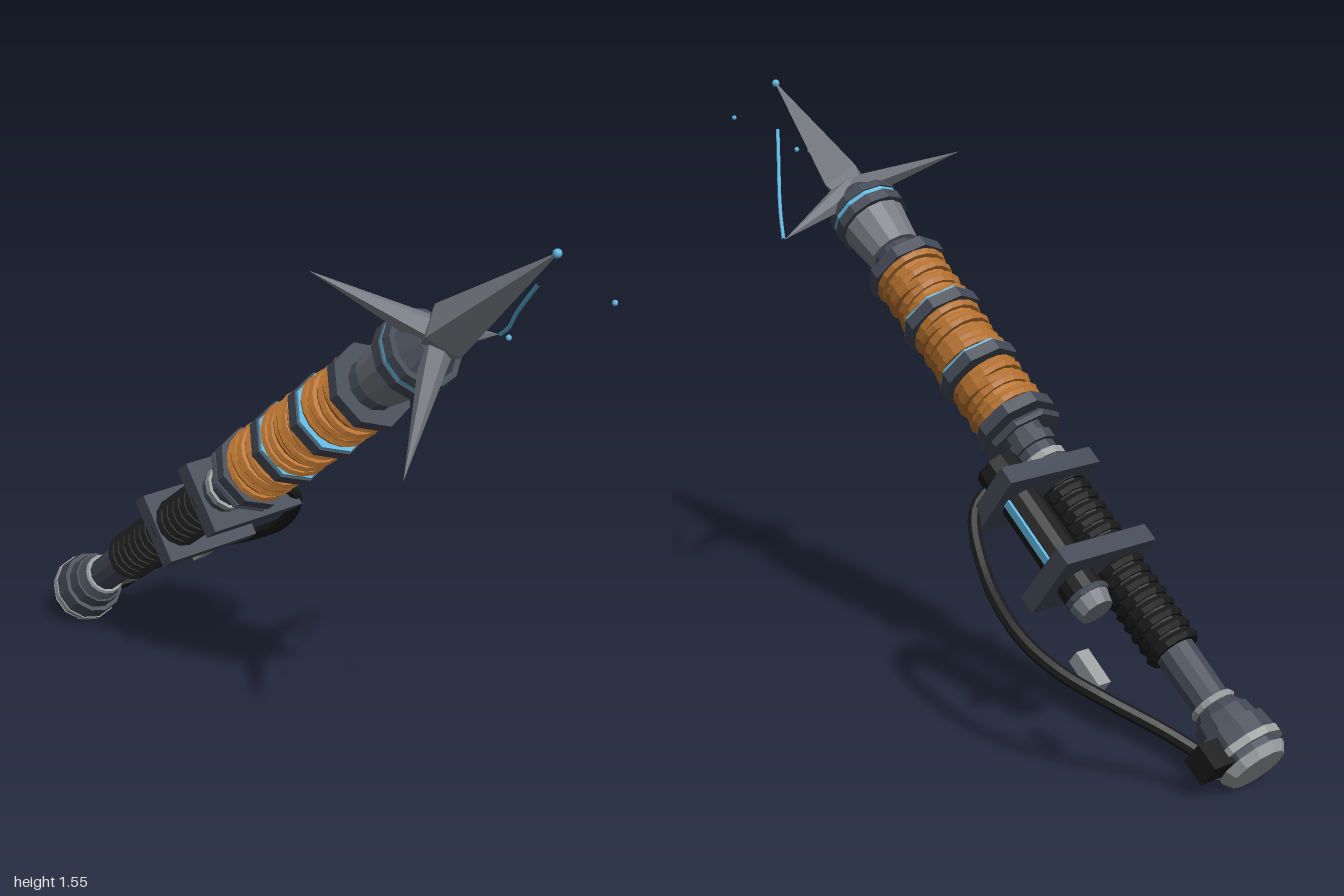
import * as THREE from 'three';

const mat = (name, color, extra = {}) => {
  const m = new THREE.MeshStandardMaterial({ color, flatShading: true, ...extra });
  m.name = name;
  return m;
};

export function createModel() {
  const slate = mat('dark slate', 0x434955);
  const steel = mat('steel grey', 0x777b82);
  const light = mat('light grey', 0x9a9e9f);
  const black = mat('black rubber', 0x1a1a1a);
  const copper = mat('copper', 0xb87330);
  const cyan = mat('glowing cyan', 0x5fb4dc);

  const model = new THREE.Group();
  model.name = 'electricSpear';

  // Spear frame: local y runs along the shaft, local z towards the canister
  const along = new THREE.Vector3(0.757, 0.617, 0.217).normalize();
  const side = new THREE.Vector3(0.275, 0, -0.961).normalize();
  const up = new THREE.Vector3().crossVectors(along, side).normalize();
  side.crossVectors(up, along);
  const spear = new THREE.Group();
  spear.name = 'spear';
  spear.quaternion.setFromRotationMatrix(new THREE.Matrix4().makeBasis(up, along, side));
  spear.position.set(-0.93, 0.09, -0.19);
  model.add(spear);

  const add = (name, geo, material, x = 0, y = 0, z = 0, parent = spear) => {
    const m = new THREE.Mesh(geo, material);
    m.name = name;
    m.position.set(x, y, z);
    parent.add(m);
    return m;
  };
  // Tapered section of the shaft between two heights
  const section = (name, y0, y1, r0, r1, material, n = 12, z = 0) =>
    add(name, new THREE.CylinderGeometry(r1, r0, y1 - y0, n), material, 0, (y0 + y1) / 2, z);
  const ring = (name, y, r, tube, material, n = 16, z = 0) => {
    const m = add(name, new THREE.TorusGeometry(r, tube, 6, n), material, 0, y, z);
    m.rotation.x = Math.PI / 2;
    return m;
  };

  // Pommel
  section('pommelEnd', -0.012, 0.012, 0.075, 0.092, light);
  section('pommelBase', 0.012, 0.03, 0.085, 0.085, slate);
  section('pommelBand', 0.03, 0.05, 0.1, 0.1, light);
  section('pommelBody', 0.05, 0.1, 0.097, 0.092, slate);
  section('pommelStep', 0.1, 0.14, 0.08, 0.075, slate);
  section('pommelNeck', 0.14, 0.165, 0.07, 0.055, slate);
  ring('pommelRing', 0.175, 0.052, 0.009, light);

  // Shaft core
  section('lowerShaft', 0.14, 0.36, 0.05, 0.053, slate);
  section('gripCore', 0.34, 0.86, 0.06, 0.06, black);
  section('middleShaft', 0.86, 1.1, 0.06, 0.055, slate);
  section('coilCore', 1.08, 1.72, 0.06, 0.06, slate);

  // Ridged grip
  for (let i = 0; i < 16; i++) ring('gripRidge', 0.35 + i * 0.034, 0.058, 0.015, black, 14);
  section('shaftCollar', 0.93, 0.95, 0.067, 0.067, light);
  section('shaftCollarUpper', 0.98, 1.01, 0.068, 0.068, slate);

  // Clamp plates holding the canister to the shaft
  for (const y of [0.62, 0.875])
    add('clampPlate', new THREE.BoxGeometry(0.2, 0.05, 0.3), slate, 0, y, 0.08);

  // Canister
  const cz = 0.142;
  section('canisterEnd', 0.5, 0.54, 0.045, 0.055, steel, 12, cz);
  section('canisterBody', 0.54, 0.9, 0.054, 0.054, black, 14, cz);
  section('canisterCap', 0.9, 0.965, 0.062, 0.058, black, 10, cz);
  ring('canisterRing', 0.545, 0.053, 0.009, slate, 14, cz);
  add('canisterLight', new THREE.BoxGeometry(0.022, 0.3, 0.008), cyan, 0.012, 0.755, cz + 0.054);

  // Cable connector beside the pommel
  add('cableConnector', new THREE.BoxGeometry(0.07, 0.07, 0.07), black, 0, 0.05, 0.115);

  // Copper coils with slightly uneven turns
  [1.17, 1.36, 1.55].forEach((y, c) => {
    section('coilFill', y - 0.068, y + 0.068, 0.085, 0.085, copper, 16);
    for (let i = 0; i < 6; i++) {
      const k = c * 6 + i;
      const turn = ring('coilTurn', y - 0.06 + i * 0.024, 0.088 + 0.003 * Math.sin(k * 2.3), 0.013, copper, 18);
      turn.rotation.x += 0.09 * Math.sin(k * 1.7);
      turn.rotation.y = 0.09 * Math.cos(k * 2.9);
    }
  });

  // Coil flanges and glowing bands
  ring('openFlange', 1.035, 0.097, 0.012, slate, 8);
  [1.08, 1.262, 1.452, 1.64].forEach((y, i) => {
    section('coilFlange', y - 0.017, y + 0.017, 0.112, 0.112, slate, 8);
    if (i === 1 || i === 2) section('coilGlow', y + 0.015, y + 0.025, 0.107, 0.107, cyan, 8);
  });

  // Head socket
  section('socketNeck', 1.65, 1.71, 0.07, 0.06, slate);
  section('socketCone', 1.7, 1.82, 0.075, 0.092, steel, 14);
  section('socketCollar', 1.815, 1.845, 0.105, 0.105, slate);
  section('socketGlow', 1.845, 1.86, 0.1, 0.1, cyan);
  section('socketTop', 1.86, 1.885, 0.104, 0.1, slate);
  section('socketShoulder', 1.885, 1.93, 0.085, 0.05, slate);

  // Spear blade: a long and a short four-sided pyramid
  section('bladeRoot', 1.9, 1.975, 0.035, 0.07, steel, 4);
  section('blade', 1.975, 2.385, 0.07, 0.002, steel, 4);
  add('tipBead', new THREE.SphereGeometry(0.011, 10, 8), cyan, 0, 2.385, 0);

  // Three swept-back prongs
  for (let i = 0; i < 3; i++) {
    const a = (i * Math.PI * 2) / 3;
    const root = new THREE.Vector3(0, 1.945, 0);
    const tip = new THREE.Vector3(Math.sin(a) * 0.31, 1.8, Math.cos(a) * 0.31);
    const dir = tip.clone().sub(root);
    const mid = root.clone().add(tip).multiplyScalar(0.5);
    const prong = add('prong', new THREE.ConeGeometry(0.042, dir.length(), 6), steel, mid.x, mid.y, mid.z);
    prong.quaternion.setFromUnitVectors(new THREE.Vector3(0, 1, 0), dir.normalize());
  }

  // Curved tubes, given in model space
  const tube = (name, pts, r, n, material) => {
    const curve = new THREE.CatmullRomCurve3(pts.map(p => new THREE.Vector3(...p)));
    add(name, new THREE.TubeGeometry(curve, n, r, 8), material, 0, 0, 0, model);
  };
  tube('cable', [[-0.17, 0.655, -0.13], [-0.15, 0.59, -0.2], [-0.24, 0.46, -0.29], [-0.38, 0.36, -0.365],
    [-0.5, 0.3, -0.385], [-0.62, 0.25, -0.37], [-0.75, 0.18, -0.315], [-0.87, 0.115, -0.28]], 0.018, 40, black);
  tube('spark', [[0.52, 1.2, -0.1], [0.575, 1.245, -0.04], [0.61, 1.29, 0.0],
    [0.69, 1.37, 0.1], [0.77, 1.445, 0.2]], 0.005, 20, cyan);

  // Loose cable clip
  const clip = add('cableClip', new THREE.BoxGeometry(0.04, 0.1, 0.04), light, -0.55, 0.285, -0.315, model);
  clip.quaternion.copy(spear.quaternion);

  // Floating sparks
  for (const p of [[0.63, 1.41, 0.105], [0.79, 1.37, 0.37], [0.992, 1.46, 0.28]])
    add('sparkBead', new THREE.SphereGeometry(0.007, 8, 6), cyan, ...p, model);

  return model;
}
